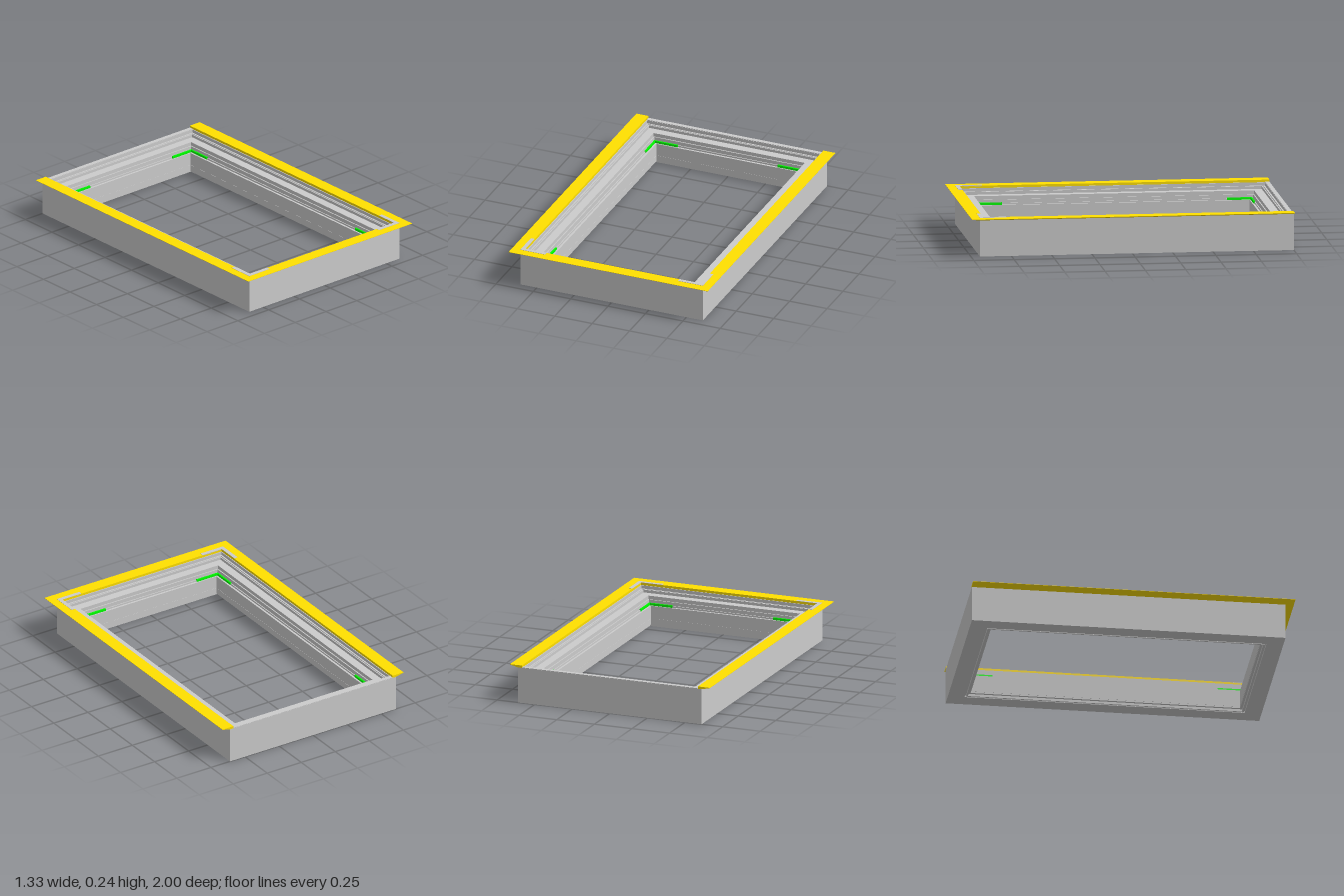
import * as THREE from 'three';

const grey = new THREE.MeshStandardMaterial({ color: 0xcccccc, flatShading: true });
const tinted = (color) => new THREE.MeshStandardMaterial({ color });
const yellow = tinted(0xffe000), pale = tinted(0xf4f4f4), green = tinted(0x00ff00);

// Outer faces of the frame; a profile point is [inset from the outer face, height]
const HALF_X = 0.61, BACK = -1, FRONT = 0.945;
const corner = (sx, front) => ([d, y]) => [sx * (HALF_X - d), y, front ? FRONT - d : BACK + d];
const squareEnd = (sx) => ([d, y]) => [sx * (HALF_X - d), y, BACK];

// Sweeps a closed clockwise profile along mitred stations
function sweep(name, profile, stations, closed, material) {
  const pos = [], n = profile.length, m = stations.length;
  const tri = (a, b, c) => pos.push(...a, ...b, ...c);
  for (let j = 0; j < (closed ? m : m - 1); j++) {
    const s = stations[j], t = stations[(j + 1) % m];
    for (let i = 0; i < n; i++) {
      const p = profile[i], q = profile[(i + 1) % n];
      tri(s(p), t(p), t(q));
      tri(s(p), t(q), s(q));
    }
  }
  if (!closed) {
    const first = stations[0], last = stations[m - 1];
    for (let i = 1; i < n - 1; i++) {
      tri(first(profile[0]), first(profile[i]), first(profile[i + 1]));
      tri(last(profile[0]), last(profile[i + 1]), last(profile[i]));
    }
  }
  const geo = new THREE.BufferGeometry();
  geo.setAttribute('position', new THREE.Float32BufferAttribute(pos, 3));
  geo.computeVertexNormals();
  const mesh = new THREE.Mesh(geo, material);
  mesh.name = name;
  return mesh;
}

// Box given by its minimum and maximum corners
function slab(name, [x0, y0, z0], [x1, y1, z1], material) {
  const mesh = new THREE.Mesh(new THREE.BoxGeometry(Math.abs(x1 - x0), y1 - y0, z1 - z0), material);
  mesh.position.set((x0 + x1) / 2, (y0 + y1) / 2, (z0 + z1) / 2);
  mesh.name = name;
  return mesh;
}

export function createModel() {
  const model = new THREE.Group();
  model.name = 'windowFrame';
  const ring = [corner(-1, false), corner(-1, true), corner(1, true), corner(1, false)];

  // Stepped frame body, highest on the outside
  const body = [
    [0, 0], [0, 0.225], [0.03, 0.225], [0.03, 0.205], [0.04, 0.205], [0.04, 0.195],
    [0.045, 0.195], [0.045, 0.205], [0.052, 0.205], [0.052, 0.188],
    [0.105, 0.188], [0.105, 0.165], [0.112, 0.165], [0.112, 0.135],
    [0.118, 0.135], [0.118, 0.145], [0.124, 0.145], [0.124, 0.135],
    [0.137, 0.135], [0.137, 0.015], [0.122, 0.015], [0.122, 0], [0.112, 0],
    [0.112, 0.012], [0.104, 0.012], [0.104, 0],
  ];
  model.add(sweep('frameBody', body, ring, true, grey));

  // Pale trim round the inner wall
  const trim = [[0.135, 0.025], [0.135, 0.055], [0.138, 0.055], [0.138, 0.025]];
  model.add(sweep('innerTrim', trim, ring, true, pale));

  // Yellow flange on the front and both sides, bevelled underneath
  const flange = [[0, 0.225], [-0.055, 0.238], [-0.055, 0.24], [0.025, 0.24], [0.025, 0.225]];
  const open = [squareEnd(-1), corner(-1, true), corner(1, true), squareEnd(1)];
  model.add(sweep('flange', flange, open, false, yellow));

  // Pale strip on the back rail
  model.add(slab('backStrip', [-0.585, 0.22, -0.999], [0.585, 0.228, -0.972], pale));

  for (const s of [-1, 1]) {
    // Flat corner brackets on the front of the flange
    const bracket = new THREE.Group();
    bracket.name = 'cornerBracket';
    bracket.add(
      slab('bracketSide', [s * 0.585, 0.236, 0.78], [s * 0.61, 0.2415, 0.945], pale),
      slab('bracketFront', [s * 0.445, 0.236, 0.92], [s * 0.585, 0.2415, 0.945], pale),
    );
    model.add(bracket);

    // Green seal angles in the four inner corners
    for (const front of [false, true]) {
      const seal = new THREE.Group();
      seal.name = 'cornerSeal';
      const [z0, z1] = front ? [0.67, 0.825] : [-0.88, -0.725];
      const [e0, e1] = front ? [0.815, 0.825] : [-0.88, -0.87];
      seal.add(
        slab('sealSide', [s * 0.484, 0.13, z0], [s * 0.494, 0.149, z1], green),
        slab('sealEnd', [s * 0.335, 0.13, e0], [s * 0.484, 0.149, e1], green),
      );
      model.add(seal);
    }
  }
  return model;
}
